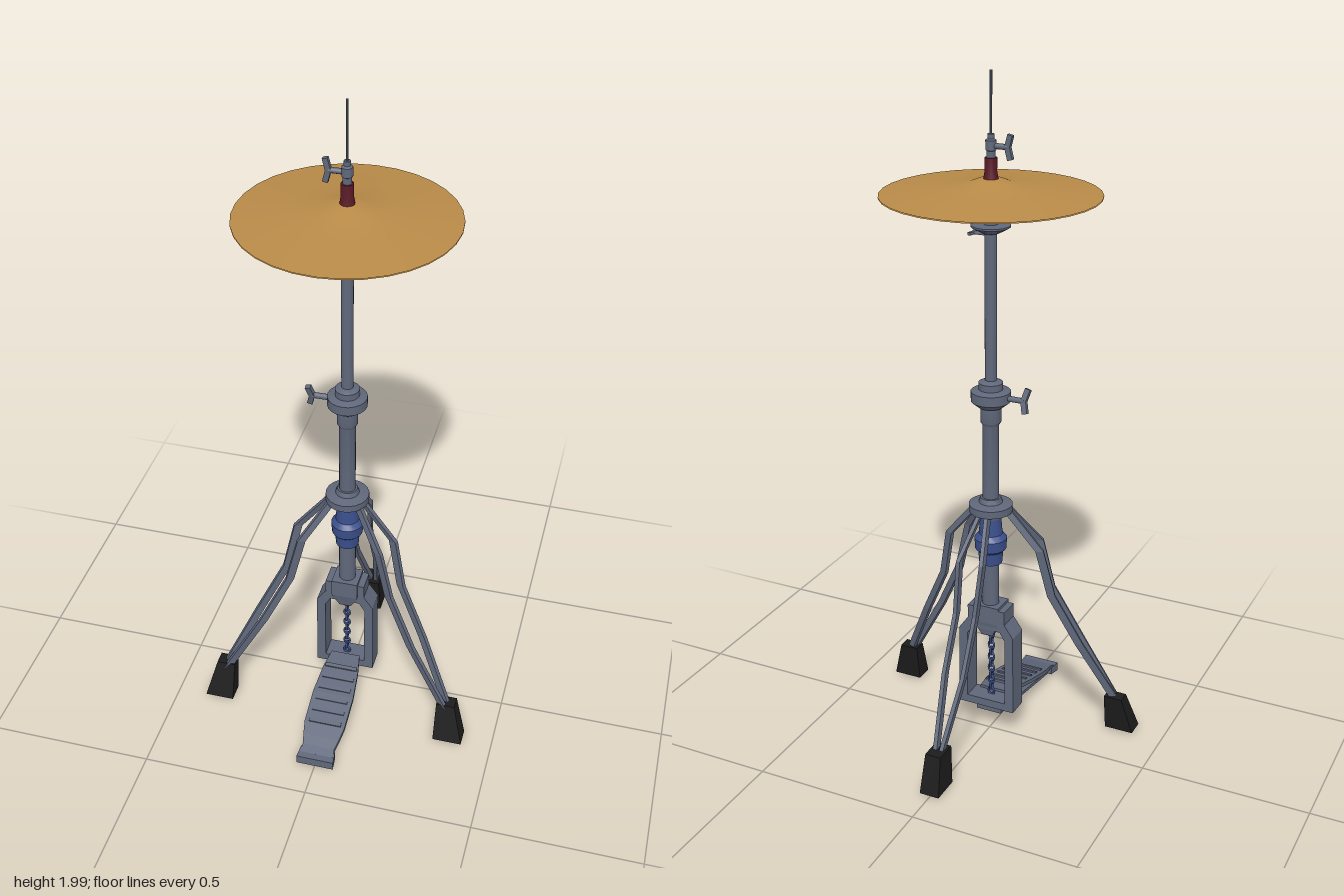
import * as THREE from 'three';
import { toCreasedNormals } from 'three/addons/utils/BufferGeometryUtils.js';

const mat = (color, side = THREE.FrontSide) => {
  const m = new THREE.MeshStandardMaterial({ side });
  m.color.set(color);
  return m;
};
const AXIS_Z = 0.007;

// Skin over four-cornered cross-sections, closed at both ends
function loft(sections) {
  const pos = [];
  const quad = (a, b, c, d) => [a, b, c, a, c, d].forEach(p => pos.push(...p));
  for (let i = 0; i + 1 < sections.length; i++) {
    const a = sections[i], b = sections[i + 1];
    for (let j = 0; j < 4; j++) {
      const k = (j + 1) % 4;
      quad(a[j], a[k], b[k], b[j]);
    }
  }
  const f = sections[0], l = sections[sections.length - 1];
  quad(f[3], f[2], f[1], f[0]);
  quad(l[0], l[1], l[2], l[3]);
  const g = new THREE.BufferGeometry();
  g.setAttribute('position', new THREE.Float32BufferAttribute(pos, 3));
  g.computeVertexNormals();
  return g;
}
// Horizontal rectangle (for upright lofts)
const flatRect = (x0, x1, z0, z1, y) => [[x0, y, z1], [x1, y, z1], [x1, y, z0], [x0, y, z0]];
// Rectangle facing +z (for lofts running forward)
const faceRect = (w, y0, y1, z) => [[-w, y0, z], [w, y0, z], [w, y1, z], [-w, y1, z]];

export function createModel() {
  const root = new THREE.Group();
  const steel = mat(0x5f677a), blue = mat(0x3a4f8c), rubber = mat(0x1c1c1c);
  const brass = mat(0xb88a48, THREE.DoubleSide), felt = mat(0x5a1a26);

  const add = (name, geo, material, x = 0, y = 0, z = 0, parent = root) => {
    const m = new THREE.Mesh(geo, material);
    m.name = name;
    m.position.set(x, y, z);
    parent.add(m);
    return m;
  };
  // Turned part from [radius, height] pairs, bottom to top
  const turned = (name, profile, material, segments = 20) => {
    const g = new THREE.LatheGeometry(profile.map(p => new THREE.Vector2(...p)), segments);
    return add(name, toCreasedNormals(g, 0.6), material, 0, 0, AXIS_Z);
  };

  // Stand column
  turned('lowerTube', [[0, 0.36], [0.025, 0.36], [0.025, 0.74], [0, 0.74]], steel);
  turned('legCollar', [[0, 0.715], [0.03, 0.715], [0.035, 0.738], [0.064, 0.742], [0.064, 0.764],
    [0.035, 0.77], [0.03, 0.785], [0, 0.785]], steel);
  turned('middleTube', [[0, 0.77], [0.024, 0.77], [0.024, 1.01], [0.03, 1.02], [0.03, 1.07], [0, 1.07]], steel);
  turned('heightClamp', [[0, 1.06], [0.035, 1.065], [0.057, 1.083], [0.057, 1.112], [0.035, 1.118],
    [0.035, 1.138], [0.02, 1.145], [0, 1.145]], steel);
  turned('upperTube', [[0, 1.14], [0.017, 1.14], [0.017, 1.58], [0, 1.58]], steel);
  turned('tensionAdjuster', [[0, 0.575], [0.034, 0.575], [0.037, 0.613], [0.046, 0.622], [0.048, 0.655],
    [0.035, 0.67], [0.031, 0.72], [0, 0.72]], blue);
  turned('seatCup', [[0, 1.565], [0.025, 1.568], [0.055, 1.585], [0.055, 1.59], [0.02, 1.592], [0.02, 1.604],
    [0.056, 1.606], [0.056, 1.622], [0.025, 1.628], [0, 1.63]], steel);

  // Cymbal pair meeting at the rim
  turned('bottomCymbal', [[0.005, 1.624], [0.035, 1.627], [0.06, 1.638], [0.16, 1.655], [0.302, 1.67]], brass, 32);
  turned('topCymbal', [[0.302, 1.673], [0.16, 1.689], [0.06, 1.704], [0.035, 1.714], [0.005, 1.717]], brass, 32);

  // Clutch and pull rod
  turned('clutchFelt', [[0, 1.712], [0.021, 1.712], [0.017, 1.735], [0.017, 1.772], [0, 1.772]], felt);
  turned('clutchNut', [[0, 1.77], [0.012, 1.77], [0.012, 1.79], [0.015, 1.792], [0.015, 1.818],
    [0.009, 1.822], [0.009, 1.835], [0, 1.835]], steel);
  turned('pullRod', [[0, 1.58], [0.0035, 1.58], [0.0035, 2], [0, 2]], steel, 10);

  // Wing screws: a stem along x with a two-eared grip
  const wingScrew = (name, x0, x1, y, size, tilt) => {
    const g = new THREE.Group();
    g.name = name;
    g.position.set(0, y, AXIS_Z);
    const stem = add('screwStem', new THREE.CylinderGeometry(size * 0.24, size * 0.24, Math.abs(x1 - x0), 10),
      steel, (x0 + x1) / 2, 0, 0, g);
    stem.rotation.z = Math.PI / 2;
    for (const s of [-1, 1]) {
      const ear = add('screwEar', new THREE.BoxGeometry(size * 0.45, size * 1.05, size * 0.4), steel,
        x1 + Math.sign(x1) * size * 0.1, s * size * 0.5, 0, g);
      ear.rotation.z = -s * Math.sign(x1) * 0.25;
    }
    g.rotation.x = tilt;
    root.add(g);
  };
  wingScrew('clutchWingScrew', 0, -0.05, 1.803, 0.033, 0);
  wingScrew('clampWingScrew', -0.05, -0.103, 1.097, 0.035, 0.3);
  wingScrew('seatWingScrew', 0.015, 0.052, 1.562, 0.02, Math.PI / 2);

  // Legs: two flat bars each, bowed apart and meeting in the foot: [radius, height, sideways]
  const bar = [[0.36, 0.08, 0.007], [0.335, 0.135, 0.012], [0.24, 0.32, 0.035], [0.163, 0.48, 0.036],
    [0.13, 0.63, 0.043], [0.045, 0.745, 0.014]];
  const legs = [
    { name: 'backLeg', d: [0, -1], reach: 1 },
    { name: 'leftLeg', d: [0.918, 0.396], reach: 1.1 },
    { name: 'rightLeg', d: [-0.918, 0.396], reach: 1.1 }
  ];
  for (const { name, d: [dx, dz], reach } of legs) {
    for (const side of [-1, 1]) {
      const sections = bar.map(([r, y, w]) => {
        return [[-1, -1], [1, -1], [1, 1], [-1, 1]].map(([s, t]) => {
          const a = r * reach + s * 0.012, b = side * w * 0.85 + t * 0.006;
          return [dx * a + dz * b, y, AXIS_Z + dz * a - dx * b];
        });
      });
      add(name + 'Bar', loft(sections), steel);
    }
  }

  // Rubber feet
  add('backFoot', loft([flatRect(-0.03, 0.03, -0.4, -0.312, 0.012),
    flatRect(-0.024, 0.024, -0.373, -0.305, 0.13)]), rubber);
  add('leftFoot', loft([flatRect(0.322, 0.41, 0.148, 0.205, 0.012),
    flatRect(0.322, 0.378, 0.13, 0.17, 0.13)]), rubber);
  add('rightFoot', loft([flatRect(-0.41, -0.322, 0.148, 0.205, 0.012),
    flatRect(-0.378, -0.322, 0.13, 0.17, 0.13)]), rubber);

  // Pedal frame with a rounded window
  const frame = new THREE.Shape();
  [[-0.09, 0.095], [0.09, 0.095], [0.088, 0.35], [0.06, 0.39], [0.06, 0.432], [-0.06, 0.432],
    [-0.06, 0.39], [-0.088, 0.35]].forEach(([x, y], i) => i ? frame.lineTo(x, y) : frame.moveTo(x, y));
  const opening = new THREE.Path();
  [[-0.062, 0.12], [-0.062, 0.335], [-0.045, 0.362], [0.045, 0.362], [0.062, 0.335], [0.062, 0.12]]
    .forEach(([x, y], i) => i ? opening.lineTo(x, y) : opening.moveTo(x, y));
  frame.holes.push(opening);
  add('pedalFrame', new THREE.ExtrudeGeometry(frame, { depth: 0.066, bevelEnabled: false }), steel, 0, 0, -0.026);
  // Tapered boss under the frame head
  add('frameBoss', loft([flatRect(-0.018, 0.018, -0.02, 0.035, 0.34),
    flatRect(-0.04, 0.04, -0.028, 0.046, 0.385), flatRect(-0.04, 0.04, -0.028, 0.046, 0.44)]), steel);

  // Drive chain
  for (let i = 0; i < 12; i++) {
    const link = add('chainLink', new THREE.TorusGeometry(0.009, 0.0035, 6, 10), blue, 0, 0.13 + i * 0.02, 0.012);
    link.scale.y = 1.35;
    link.rotation.y = (i % 2) * Math.PI / 2;
  }

  // Foot board: [z, half width, top height]
  const board = [[0.03, 0.045, 0.128], [0.09, 0.056, 0.118], [0.18, 0.064, 0.096], [0.28, 0.063, 0.068],
    [0.32, 0.056, 0.054], [0.35, 0.049, 0.043], [0.375, 0.053, 0.035]];
  add('footBoard', loft(board.map(([z, w, y]) => faceRect(w, y - 0.013, y, z))), steel);
  add('heelPlate', loft([faceRect(0.053, 0.012, 0.036, 0.352), faceRect(0.057, 0.006, 0.034, 0.395)]), steel);
  // Grip ridges across the board
  for (let i = 0; i < 6; i++) {
    const z = 0.085 + i * 0.038;
    const ridge = add('gripRidge', new THREE.BoxGeometry(0.1, 0.007, 0.012), steel, 0, 0.1195 - (z - 0.09) * 0.265, z);
    ridge.rotation.x = 0.26;
  }
  // Flat linkage under the board, joining the heel to the frame
  add('heelLinkage', loft([faceRect(0.04, 0.067, 0.1, -0.005), faceRect(0.04, 0.067, 0.077, 0.012),
    faceRect(0.04, 0.006, 0.016, 0.38)]), steel);
  return root;
}
